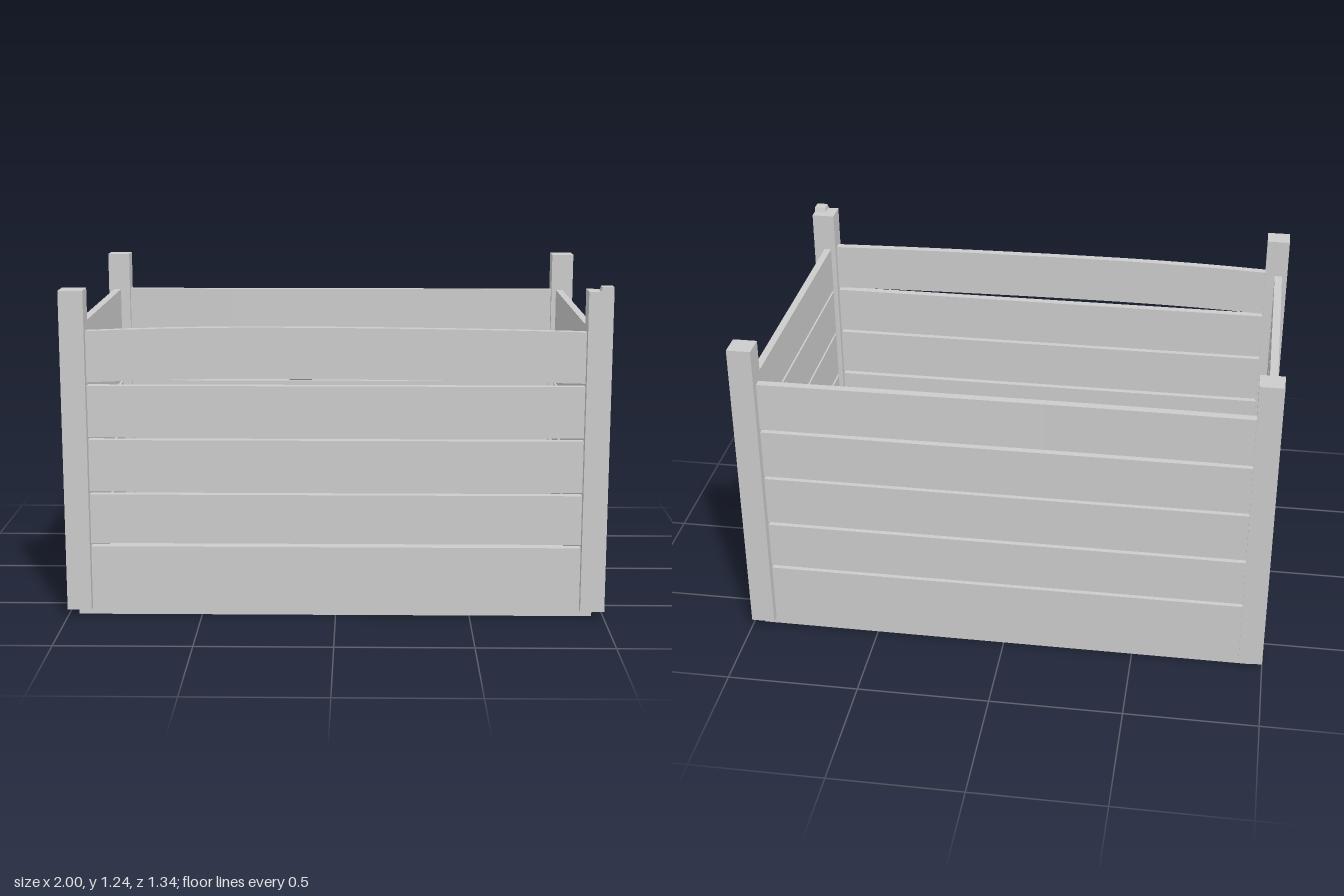
import * as THREE from 'three';

const material = new THREE.MeshStandardMaterial({ color: 0xcccccc, flatShading: true });

// Box given by its extents on each axis, with optional segments along x
function slab(name, [x0, x1], [y0, y1], [z0, z1], segments = 1) {
  const geometry = new THREE.BoxGeometry(x1 - x0, y1 - y0, z1 - z0, segments, 1, 1);
  geometry.translate((x0 + x1) / 2, (y0 + y1) / 2, (z0 + z1) / 2);
  const mesh = new THREE.Mesh(geometry, material);
  mesh.name = name;
  return mesh;
}

// Warp a long board: rise upwards and drift in z, strongest at peakX
function warp(mesh, rise, drift, peakX) {
  const p = mesh.geometry.attributes.position;
  for (let i = 0; i < p.count; i++) {
    const x = p.getX(i);
    const reach = x < peakX ? peakX + 0.93 : 0.93 - peakX;
    const k = Math.max(0, 1 - ((x - peakX) / reach) ** 2);
    p.setY(i, p.getY(i) + rise * k);
    p.setZ(i, p.getZ(i) + drift * k);
  }
  mesh.geometry.computeVertexNormals();
  return mesh;
}

export function createModel() {
  const crate = new THREE.Group();
  crate.name = 'crate';

  // Square corner posts
  for (const sx of [-1, 1]) {
    for (const sz of [-1, 1]) {
      const post = slab('cornerPost', [-0.045, 0.045], [0.028, 1.225], [-0.045, 0.045]);
      post.position.set(sx * 0.955, 0, sz * 0.625);
      crate.add(post);
    }
  }

  // Raised splinter on the outer corner of one broken post top
  const splinter = slab('postSplinter', [0.945, 1], [1.2, 1.242], [0.612, 0.67]);
  const p = splinter.geometry.attributes.position;
  for (let i = 0; i < p.count; i++) {
    if (p.getY(i) < 1.22) continue;
    if (p.getX(i) < 0.97) p.setX(i, 0.957);
    if (p.getZ(i) < 0.63) p.setZ(i, 0.626);
  }
  splinter.geometry.computeVertexNormals();
  crate.add(splinter);

  // Floor boards running across, with narrow gaps
  const floorEdges = [-0.637, -0.443, -0.221, 0, 0.22, 0.443, 0.632];
  for (let i = 0; i < 6; i++) {
    const z0 = floorEdges[i] + (i > 0 ? 0.007 : 0);
    const z1 = floorEdges[i + 1] - (i < 5 ? 0.007 : 0);
    crate.add(slab('floorBoard', [-0.962, 0.957], [0, 0.075], [z0, z1]));
  }

  // Five stacked planks on each wall
  const rows = [[0.075, 0.264], [0.277, 0.463], [0.476, 0.669], [0.681, 0.872], [0.884, 1.073]];
  rows.forEach((row, i) => {
    const top = i === 4;
    const frontRow = i === 0 ? [0.008, row[1]] : row;
    const front = slab('frontPlank', [-0.93, 0.93], frontRow, [0.605, 0.637], 12);
    const back = slab('backPlank', [-0.93, 0.93], row, [-0.637, -0.605], 12);
    // The top boards have bowed slightly
    crate.add(top ? warp(front, 0.015, 0, -0.28) : front);
    crate.add(top ? warp(back, 0, 0.006, -0.28) : back);
    crate.add(slab('rightPlank', [-0.979, -0.949], row, [-0.6, 0.6]));
    crate.add(slab('leftPlank', [0.929, 0.957], row, [-0.6, 0.6]));
  });

  return crate;
}
